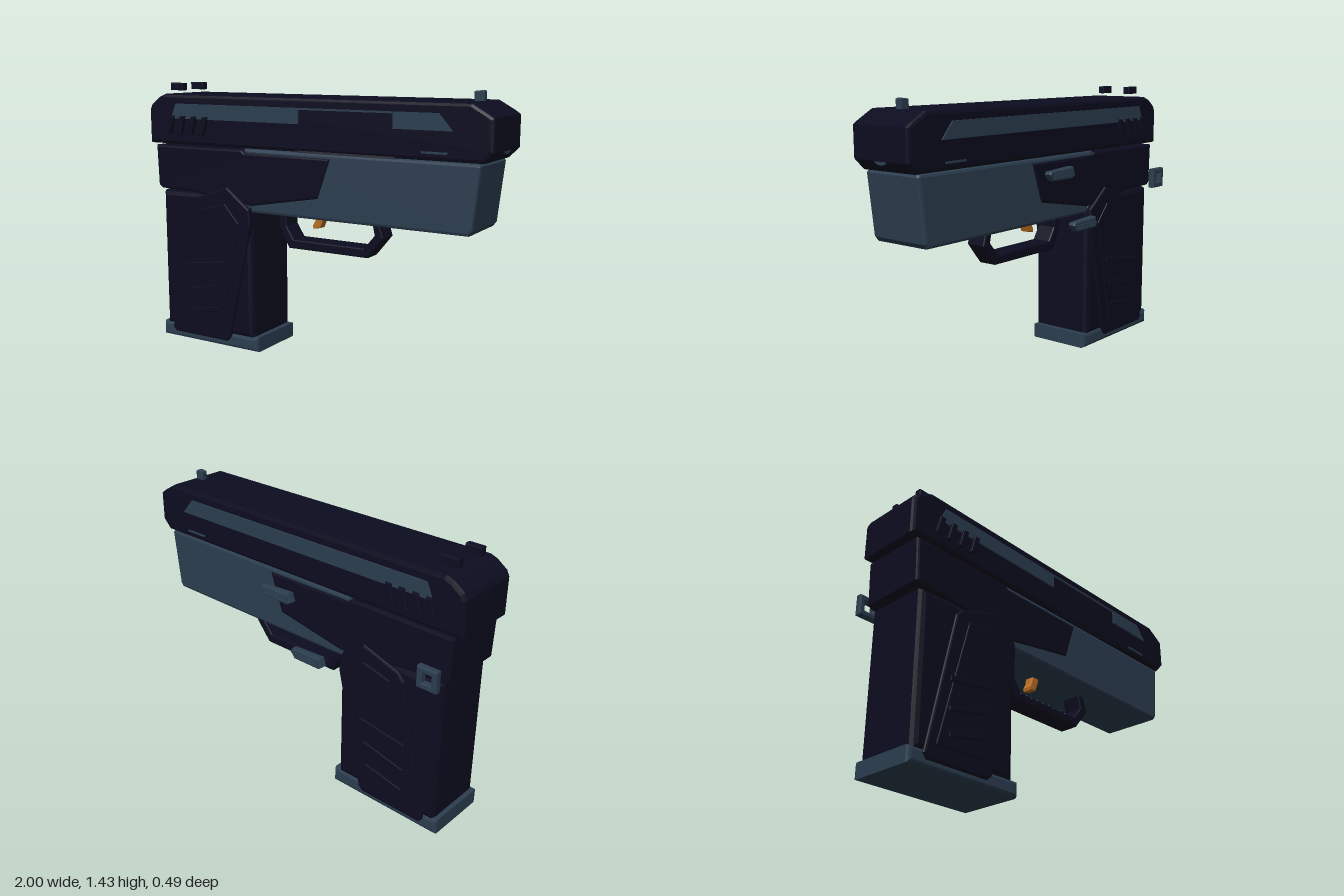
import * as THREE from 'three';

const material = (name, color) => {
  const m = new THREE.MeshStandardMaterial({ color });
  m.name = name;
  return m;
};

export function createModel() {
  const navy = material('dark navy', 0x0c0c20);
  const steel = material('blue steel', 0x2c3e50);
  const orange = material('trigger orange', 0xb86e22);

  // The body is symmetric about its own middle plane, which sits at z = 0.035
  const model = new THREE.Group();
  model.name = 'pistol';
  const body = new THREE.Group();
  body.name = 'body';
  body.position.z = 0.035;
  model.add(body);

  const add = (name, geometry, mat) => {
    const mesh = new THREE.Mesh(geometry, mat);
    mesh.name = name;
    body.add(mesh);
    return mesh;
  };
  const vec = (points) => points.map(([x, y]) => new THREE.Vector2(x, y));

  // Side profile extruded between two z values, with chamfered edges inside the outline
  const extrude = (name, points, z0, z1, mat, bevel = 0.015, hole = null) => {
    const shape = new THREE.Shape(vec(points));
    if (hole) shape.holes.push(new THREE.Path(vec(hole)));
    const geometry = new THREE.ExtrudeGeometry(shape, {
      depth: z1 - z0 - 2 * bevel,
      bevelEnabled: bevel > 0,
      bevelThickness: bevel,
      bevelSize: bevel,
      bevelOffset: -bevel,
      bevelSegments: 2,
    });
    geometry.translate(0, 0, z0 + bevel);
    return add(name, geometry, mat);
  };
  // The same plate on both flanks
  const flanks = (name, points, inner, outer, mat, bevel = 0) => {
    extrude(name + 'Front', points, inner, outer, mat, bevel);
    extrude(name + 'Back', points, -outer, -inner, mat, bevel);
  };
  const rect = (x0, y0, x1, y1) => [[x0, y0], [x1, y0], [x1, y1], [x0, y1]];
  const bar = (x0, y0, x1, y1, h) => [[x0, y0], [x1, y1], [x1, y1 + h], [x0, y0 + h]];

  // Slide: two overlapping halves, the front one with the open port
  const slide = [
    [-1, 1.1], [0.95, 1.1], [1, 1.15], [1, 1.305], [0.97, 1.325], [0.89, 1.37],
    [-0.89, 1.37], [-0.93, 1.355], [-0.985, 1.315], [-1, 1.285],
  ];
  const port = rect(-0.01, 1.115, 0.5, 1.305);
  extrude('slideBack', slide, -0.18, 0.02, navy, 0.018);
  extrude('slideFront', slide, -0.02, 0.18, navy, 0.018, port);

  // Barrel in the port and the muzzle ring
  const barrel = add('barrel', new THREE.CylinderGeometry(0.075, 0.075, 0.54, 32), steel);
  barrel.rotation.z = Math.PI / 2;
  barrel.position.set(0.245, 1.185, 0);
  const ringShape = new THREE.Shape().absarc(0, 0, 0.058, 0, Math.PI * 2);
  ringShape.holes.push(new THREE.Path().absarc(0, 0, 0.036, 0, Math.PI * 2, true));
  const muzzle = add('muzzle', new THREE.ExtrudeGeometry(ringShape, {
    depth: 0.06, bevelEnabled: false, curveSegments: 16,
  }), steel);
  muzzle.rotation.y = Math.PI / 2;
  muzzle.position.set(0.939, 1.19, 0);

  // Slide side panels; the front one is notched around the port
  extrude('slidePanelFront', [
    [-0.84, 1.24], [-0.02, 1.24], [-0.02, 1.311], [0.505, 1.311], [0.505, 1.24],
    [0.805, 1.24], [0.735, 1.32], [-0.805, 1.32],
  ], 0.179, 0.188, steel, 0);
  extrude('slidePanelBack', [[-0.84, 1.24], [0.805, 1.24], [0.735, 1.32], [-0.805, 1.32]],
    -0.188, -0.179, steel, 0);
  flanks('slideMark', rect(0.65, 1.133, 0.78, 1.143), 0.178, 0.185, steel);

  // Slanted grip ribs on the slide
  for (let i = 0; i < 4; i++) {
    const x = -0.87 + i * 0.075;
    flanks('slideRib' + (i + 1),
      [[x, 1.155], [x + 0.028, 1.155], [x + 0.058, 1.255], [x + 0.026, 1.255]], 0.175, 0.2, navy, 0.004);
  }

  // Sights
  for (const z of [-0.087, 0.087]) {
    extrude('rearSight', rect(-0.907, 1.387, -0.82, 1.427), z - 0.019, z + 0.019, navy, 0.005);
  }
  extrude('frontSight', [[0.835, 1.36], [0.885, 1.36], [0.885, 1.415], [0.875, 1.42], [0.835, 1.415]],
    -0.017, 0.017, steel, 0.004);

  // Frame: steel front housing and dark rear cover
  extrude('frontHousing', [[-0.37, 1.098], [-0.33, 0.762], [0.885, 0.762], [0.903, 0.785], [0.937, 1.085], [0.927, 1.098]],
    -0.17, 0.17, steel, 0.015);
  extrude('rearFrame', [
    [-0.96, 1.09], [-0.952, 0.865], [-0.93, 0.85], [-0.72, 0.845], [-0.4, 0.8],
    [-0.31, 0.8], [0.085, 0.87], [0.157, 1.075], [-0.36, 1.078], [-0.38, 1.092],
  ], -0.178, 0.178, navy, 0.012);

  // Grip with raised side panels and ribs
  extrude('grip', [[-0.92, 0.07], [-0.32, 0.07], [-0.32, 0.79], [-0.36, 0.85], [-0.92, 0.84]],
    -0.178, 0.178, navy, 0.028);
  flanks('gripPanel', [
    [-0.87, 0.06], [-0.85, 0.035], [-0.49, 0.035], [-0.465, 0.06], [-0.32, 0.7],
    [-0.325, 0.78], [-0.47, 0.89], [-0.68, 0.82], [-0.715, 0.78],
  ], 0.16, 0.192, navy, 0.01);
  flanks('gripInset', [
    [-0.81, 0.11], [-0.52, 0.11], [-0.39, 0.7], [-0.48, 0.8], [-0.64, 0.76],
  ], 0.185, 0.198, navy, 0.005);
  [[-0.75, 0.425, -0.47, 0.465], [-0.75, 0.28, -0.5, 0.335], [-0.745, 0.16, -0.52, 0.205]]
    .forEach(([x0, y0, x1, y1], i) =>
      flanks('gripRib' + (i + 1), bar(x0, y0, x1, y1, 0.025), 0.18, 0.208, navy, 0.004));

  // Base plate
  extrude('basePlate', rect(-0.945, 0, -0.29, 0.08), -0.18, 0.18, steel, 0.017);

  // Trigger guard loop and trigger
  extrude('triggerGuard', [
    [-0.22, 0.78], [-0.23, 0.68], [-0.165, 0.57], [0.305, 0.57], [0.395, 0.68], [0.365, 0.78],
    [0.325, 0.78], [0.345, 0.69], [0.285, 0.62], [-0.135, 0.62], [-0.18, 0.69], [-0.18, 0.78],
  ], -0.056, 0.056, navy, 0.008);
  extrude('trigger', [[-0.01, 0.78], [-0.02, 0.73], [-0.036, 0.7], [-0.033, 0.682], [0.01, 0.69], [0.03, 0.74], [0.035, 0.78]],
    -0.025, 0.025, orange, 0.005);

  // Controls standing off the back flank: two ridged levers and a square ring
  [['slideLever', -0.07, 0.99], ['releaseLever', -0.275, 0.705]].forEach(([name, x, y]) => {
    extrude(name, [
      [x, y + 0.015], [x + 0.02, y], [x + 0.18, y], [x + 0.21, y + 0.035], [x + 0.2, y + 0.05],
      [x + 0.015, y + 0.06],
    ], -0.272, -0.23, steel, 0.007);
    for (let i = 0; i < 3; i++) {
      const ry = y + 0.013 + i * 0.015;
      extrude(name + 'Ridge' + (i + 1), rect(x + 0.025, ry, x + 0.175, ry + 0.007), -0.277, -0.27, steel, 0);
    }
  });
  extrude('squareRing', rect(-0.95, 0.85, -0.84, 0.96), -0.275, -0.238, steel, 0.007,
    rect(-0.92, 0.88, -0.87, 0.93));

  return model;
}
